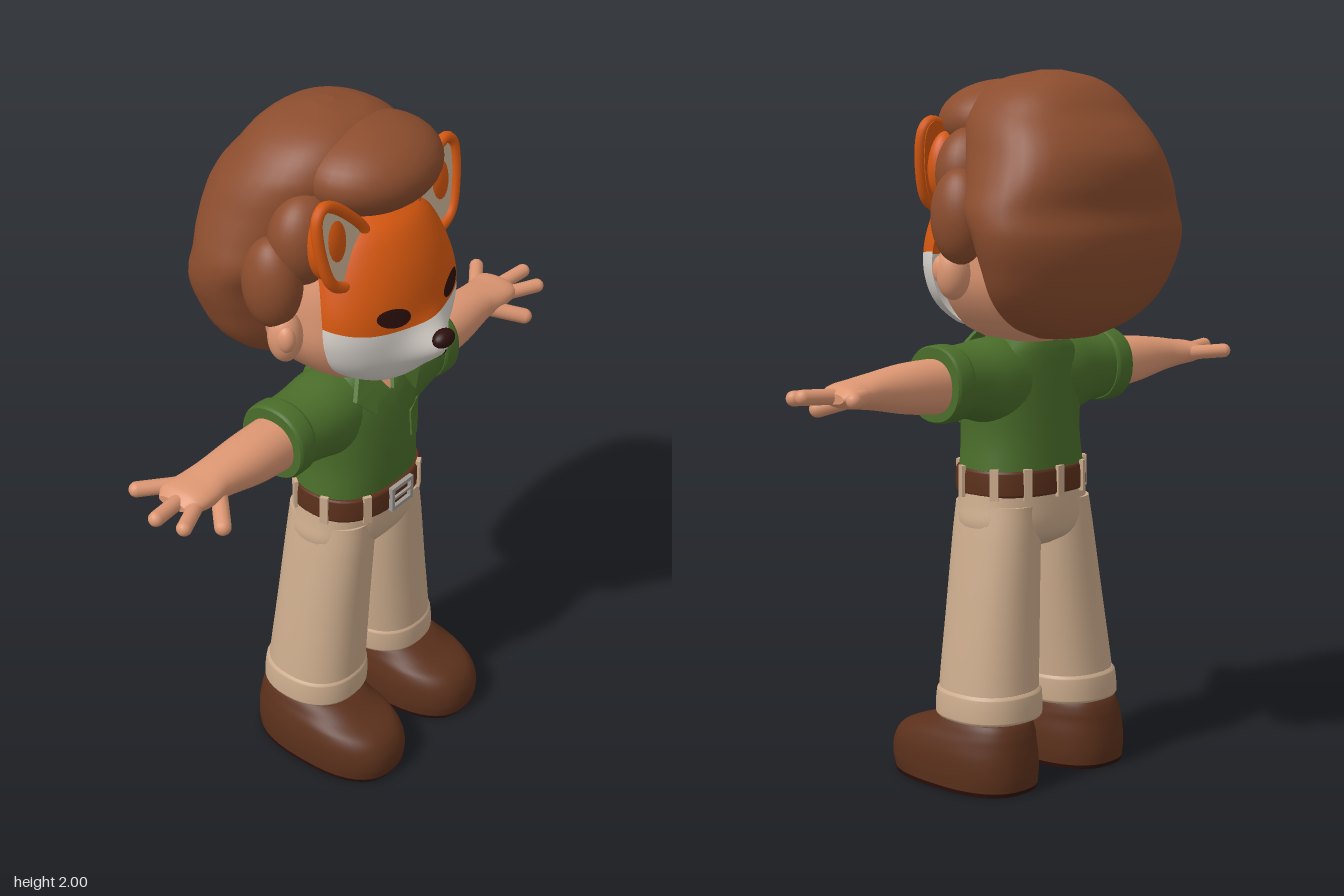
import * as THREE from 'three';

const mat = (name, color) => { const m = new THREE.MeshStandardMaterial({ color, side: THREE.DoubleSide }); m.name = name; return m; };
const M = {
  hair: mat('hair brown', 0x8c4d2e), skin: mat('skin', 0xdc9672), shirt: mat('shirt green', 0x4a6d2a),
  pants: mat('trouser beige', 0xcbab8c), leather: mat('leather brown', 0x5b301b), orange: mat('mask orange', 0xd5570f),
  white: mat('mask white', 0xd8d2cb), dark: mat('dark brown', 0x2c100c), metal: mat('buckle grey', 0xa09a94), cream: mat('ear cream', 0xccb799),
};

// smooth interpolation of rows [t, a, b, ...] at a given t
function profile(rows, t) {
  let i = 0;
  while (i < rows.length - 2 && t > rows[i + 1][0]) i++;
  const A = rows[i], B = rows[i + 1], h = B[0] - A[0], u = THREE.MathUtils.clamp((t - A[0]) / h, 0, 1);
  const P = rows[Math.max(i - 1, 0)], N = rows[Math.min(i + 2, rows.length - 1)];
  return A.map((a, k) => {
    const b = B[k], m0 = (b - P[k]) / (B[0] - P[0]) * h, m1 = (N[k] - a) / (N[0] - A[0]) * h;
    return (2 * u ** 3 - 3 * u * u + 1) * a + (u ** 3 - 2 * u * u + u) * m0 + (3 * u * u - 2 * u ** 3) * b + (u ** 3 - u * u) * m1;
  });
}
const sp = (v, p) => Math.sign(v) * Math.abs(v) ** (2 / p);
// point of a superellipse section [y, halfWidth, zFront, zBack, centreX]
const ringPoint = ([y, rx, zf, zb, cx = 0], a, p) =>
  [cx + rx * sp(Math.cos(a), p), y, (zf + zb) / 2 + (zf - zb) / 2 * sp(Math.sin(a), p)];

function gridGeometry(pos, idx) {
  const g = new THREE.BufferGeometry();
  g.setAttribute('position', new THREE.Float32BufferAttribute(pos, 3));
  g.setIndex(idx);
  g.computeVertexNormals();
  return g;
}
// closed body through stacked sections, with flat caps
function loft(rows, p = 2.2, wave = null, n = 40, sub = 5) {
  const pos = [], idx = [], rings = [];
  for (let i = 0; i < rows.length - 1; i++)
    for (let k = 0; k < sub; k++) rings.push(profile(rows, THREE.MathUtils.lerp(rows[i][0], rows[i + 1][0], k / sub)));
  rings.push(rows[rows.length - 1]);
  const addRing = (r) => {
    for (let j = 0; j < n; j++) {
      const a = j / n * Math.PI * 2, q = ringPoint(r, a, p), f = wave ? wave(a, r[0]) : 1;
      pos.push(q[0] * f, q[1], q[2] * f);
    }
  };
  rings.forEach(addRing);
  for (let i = 0; i < rings.length - 1; i++)
    for (let j = 0; j < n; j++) {
      const a = i * n + j, b = i * n + (j + 1) % n;
      idx.push(a, a + n, b + n, a, b + n, b);
    }
  [rings[0], rings[rings.length - 1]].forEach((r, top) => {
    const base = pos.length / 3;
    addRing(r);
    pos.push(r[4] || 0, r[0], (r[2] + r[3]) / 2);
    for (let j = 0; j < n; j++) {
      const a = base + j, b = base + (j + 1) % n;
      idx.push(base + n, top ? b : a, top ? a : b);
    }
  });
  return gridGeometry(pos, idx);
}
// loft running out along x; rows are [x, halfHeight, zFront, zBack, centreY]
const sideLoft = (rows, s, p) =>
  loft(rows.map(([t, r, f, b, c]) => [t, r, f, b, -s * c]), p).rotateZ(-s * Math.PI / 2);
// press a flat geometry against a surface z(x, y)
function drape(g, zAt, lift) {
  const q = g.attributes.position;
  for (let i = 0; i < q.count; i++) q.setZ(i, q.getZ(i) + zAt(q.getX(i), q.getY(i)) + lift);
  g.computeVertexNormals();
  return g;
}
const polygon = (pts, s = 1) => new THREE.Shape(pts.map(([x, y]) => new THREE.Vector2(x * s, y)));
const slab = (shape, depth) => new THREE.ExtrudeGeometry(shape, { depth, bevelEnabled: false });

const TORSO = [[.89, .19, .18, -.1], [.98, .18, .183, -.095], [1.08, .185, .178, -.09], [1.17, .19, .163, -.085], [1.23, .16, .14, -.08], [1.27, .1, .12, -.07], [1.285, .085, .11, -.065]];
const torsoZ = (x, y) => {
  const [, w, f, b] = profile(TORSO, y);
  return (f + b) / 2 + (f - b) / 2 * Math.max(0, 1 - Math.abs(x / w) ** 2.4) ** (1 / 2.4);
};
// mask rows: [y, halfWidth, zRim, zFront]
const MASK = [[1.28, .07, .15, .19], [1.3, .13, .14, .235], [1.36, .212, .135, .265], [1.44, .25, .135, .28], [1.52, .253, .13, .28], [1.6, .237, .11, .268], [1.68, .21, .08, .24], [1.74, .165, .07, .2], [1.77, .1, .07, .15]];
const maskZ = (x, y) => {
  const [, w, b, f] = profile(MASK, y);
  return b + (f - b) * Math.sqrt(Math.max(0, 1 - (x / w) ** 2)) + .065 * Math.exp(-((x / .075) ** 2) - ((y - 1.405) / .062) ** 2);
};
const seamY = (a) => 1.484 + .022 * Math.sin(a) ** 4;
function maskPatch(low, high, rows = 24, cols = 48) {
  const pos = [], idx = [];
  for (let i = 0; i <= rows; i++)
    for (let j = 0; j <= cols; j++) {
      const a = (j / cols - .5) * Math.PI, y = THREE.MathUtils.lerp(low(a), high(a), i / rows);
      const x = profile(MASK, y)[1] * Math.sin(a);
      pos.push(x, y, maskZ(x, y));
      if (i < rows && j < cols) {
        const k = i * (cols + 1) + j, u = k + cols + 1;
        idx.push(k, k + 1, u + 1, k, u + 1, u);
      }
    }
  return gridGeometry(pos, idx);
}

export function createModel() {
  const root = new THREE.Group();
  root.name = 'maskedFigure';
  const add = (name, geo, material) => {
    const m = new THREE.Mesh(geo, material);
    m.name = name;
    root.add(m);
    return m;
  };
  const ball = (name, material, c, r) =>
    add(name, new THREE.SphereGeometry(1, 32, 20).scale(...r).translate(...c), material);
  const limb = (name, material, a, b, r) => {
    const A = new THREE.Vector3(...a), B = new THREE.Vector3(...b), d = B.clone().sub(A);
    const m = add(name, new THREE.CapsuleGeometry(r, d.length(), 6, 14), material);
    m.position.copy(A).add(B).multiplyScalar(.5);
    m.quaternion.setFromUnitVectors(new THREE.Vector3(0, 1, 0), d.normalize());
  };

  // head and hair
  add('head', loft([[1.26, .1, .12, -.1], [1.3, .17, .17, -.15], [1.4, .24, .2, -.2], [1.5, .25, .2, -.22], [1.6, .235, .18, -.2], [1.7, .19, .12, -.18], [1.75, .1, .08, -.1]], 2.9), M.skin);
  add('neck', new THREE.CylinderGeometry(.072, .076, .16, 28).translate(0, 1.25, .02), M.skin);
  add('hair', loft([[1.275, .1, -.08, -.2], [1.31, .2, -.06, -.25], [1.38, .285, -.04, -.305], [1.48, .335, -.025, -.345], [1.56, .36, -.01, -.355], [1.63, .36, .03, -.345], [1.7, .335, .05, -.355], [1.77, .305, .08, -.35], [1.83, .28, .1, -.32], [1.88, .25, .11, -.28], [1.94, .195, .09, -.235], [1.98, .12, .04, -.18], [2, .03, -.05, -.1]], 2.3,
    (a, y) => 1 + .012 * Math.sin(5 * a + 1.2) * Math.sin((y - 1.27) * 9)), M.hair);
  ball('quiff', M.hair, [.02, 1.86, .065], [.215, .118, .18]).rotation.z = 0;
  for (const s of [1, -1]) {
    ball('sideHair', M.hair, [s * .285, 1.61, -.01], [.075, .13, .085]);
    ball('templeHair', M.hair, [s * .2, 1.72, .03], [.11, .13, .09]);
    ball('ear', M.skin, [s * .278, 1.457, .025], [.048, .075, .047]);
    ball('earFold', M.skin, [s * .3, 1.465, .045], [.025, .04, .03]);
  }

  // fox mask
  add('maskLower', maskPatch(() => 1.28, seamY), M.white);
  add('maskUpper', maskPatch(seamY, () => 1.77), M.orange);
  ball('maskNose', M.dark, [0, 1.437, .334], [.037, .025, .026]);
  add('maskMouth', drape(new THREE.PlaneGeometry(.008, .035, 1, 4).translate(0, 1.388, 0), maskZ, .003), M.dark);
  const earOutline = [[.1, 1.72], [.165, 1.81], [.25, 1.862], [.279, 1.84], [.28, 1.74], [.245, 1.645], [.18, 1.625]];
  for (const s of [1, -1]) {
    const eye = new THREE.RingGeometry(0, 1, 24, 4).scale(.05, .027, 1).rotateZ(s * .22).translate(s * .12, 1.527, 0);
    add('maskEye', drape(eye, maskZ, .004), M.dark);
    const earZ = (x, y) => .155 - (y - 1.7) * .12;
    const curve = new THREE.CatmullRomCurve3(earOutline.map(([x, y]) => new THREE.Vector3(x * s, y, earZ(x, y))), true);
    const shape = polygon(curve.getPoints(40).slice(0, -1).map((v) => [v.x, v.y]));
    add('maskEarRim', new THREE.TubeGeometry(curve, 60, .016, 10, true), M.orange);
    add('maskEarShell', drape(slab(shape, .014), earZ, -.018), M.orange);
    add('maskEarInner', drape(new THREE.ShapeGeometry(shape), earZ, .002), M.cream);
    ball('maskEarBack', M.orange, [s * .215, 1.735, .115], [.06, .1, .045]);
  }

  // shirt
  add('shirt', loft(TORSO, 2.4), M.shirt);
  add('neckOpening', drape(slab(polygon([[-.055, 1.28], [0, 1.2], [.055, 1.28]]), .004), torsoZ, .004), M.skin);
  add('pocket', drape(slab(polygon([[.07, 1.1], [.07, 1.02], [.11, 1.005], [.15, 1.02], [.15, 1.1]]), .006), torsoZ, .002), M.shirt);
  add('placket', drape(new THREE.PlaneGeometry(.035, .27, 2, 12).translate(0, 1.06, 0), torsoZ, .004), M.shirt);
  for (const s of [1, -1]) {
    const flap = polygon([[.005, 1.205], [.055, 1.285], [.1, 1.275], [.14, 1.225], [.085, 1.17], [.05, 1.235]], s);
    add('collarFlap', drape(slab(flap, .014), (x, y) => Math.max(torsoZ(x, y), .165 - (y - 1.17) * .5), .004), M.shirt);
    add('sleeve', sideLoft([[.06, .125, .15, -.08, 1.14], [.14, .122, .15, -.08, 1.145], [.22, .105, .142, -.07, 1.152], [.3, .098, .13, -.066, 1.155], [.34, .098, .13, -.066, 1.155]], s), M.shirt);
    add('sleeveCuff', sideLoft([[.285, .102, .134, -.07, 1.155], [.295, .107, .139, -.075, 1.155], [.34, .107, .139, -.075, 1.155], [.35, .102, .134, -.07, 1.155]], s), M.shirt);

    // arm and hand
    add('arm', sideLoft([[.32, .077, .11, -.045, 1.15], [.45, .069, .105, -.043, 1.155], [.57, .05, .09, -.038, 1.16], [.63, .04, .095, -.045, 1.16], [.69, .031, .088, -.052, 1.16], [.72, .014, .06, -.03, 1.158]], s), M.skin);
    limb('finger', M.skin, [s * .65, 1.16, -.03], [s * .738, 1.165, -.092], .021);
    limb('finger', M.skin, [s * .68, 1.16, .02], [s * .799, 1.167, .036], .021);
    limb('finger', M.skin, [s * .67, 1.155, .06], [s * .772, 1.155, .107], .021);
    limb('thumb', M.skin, [s * .6, 1.14, .07], [s * .665, 1.112, .14], .023);

    // leg and shoe
    add('trouserLeg', loft([[.2, .132, .158, -.128, s * .157], [.28, .13, .16, -.122, s * .153], [.5, .12, .16, -.108, s * .13], [.7, .106, .165, -.1, s * .109], [.8, .095, .165, -.095, s * .1]], 2.3), M.pants);
    add('trouserCuff', loft([[.2, .135, .162, -.132, s * .157], [.208, .139, .166, -.135, s * .157], [.27, .136, .165, -.131, s * .154], [.28, .13, .16, -.124, s * .153]], 2.3), M.pants);
    add('ankle', new THREE.CylinderGeometry(.095, .095, .12, 24).translate(s * .17, .17, .02), M.skin);
    add('shoe', loft([[.008, .138, .325, -.145, s * .178], [.05, .142, .335, -.15, s * .178], [.1, .14, .328, -.148, s * .178], [.14, .13, .295, -.143, s * .177], [.165, .12, .225, -.138, s * .175], [.195, .105, .165, -.125, s * .173], [.202, .09, .14, -.11, s * .172]], 2.5), M.leather);
    add('shoeSole', loft([[0, .137, .322, -.143, s * .178], [.012, .14, .33, -.147, s * .178]], 2.5), M.dark);
  }

  // trouser seat, belt, loops and buckle
  add('trouserSeat', loft([[.675, .1, .1, -.05], [.7, .18, .145, -.09], [.74, .208, .17, -.105], [.8, .2, .178, -.105], [.89, .186, .176, -.098]], 2.4), M.pants);
  add('belt', loft([[.828, .194, .19, -.108], [.835, .197, .193, -.111], [.893, .195, .193, -.109], [.9, .191, .189, -.106]], 2.4), M.leather);
  for (const deg of [12, 58, 122, 168, 205, 240, 270, 300, 335]) {
    const [x, y, z] = ringPoint([.864, .197, .194, -.111], deg * Math.PI / 180, 2.4);
    const loop = add('beltLoop', new THREE.BoxGeometry(.024, .088, .012), M.pants);
    loop.position.set(x, y, z);
    loop.rotation.y = Math.atan2(x / .197 ** 2, (z - .041) / .152 ** 2);
  }
  const frame = polygon([[-.04, .826], [.055, .826], [.055, .902], [-.04, .902]]);
  frame.holes.push(new THREE.Path([[-.028, .838], [-.028, .89], [.043, .89], [.043, .838]].map(([x, y]) => new THREE.Vector2(x, y))));
  add('buckle', slab(frame, .014).translate(0, 0, .19), M.metal);
  add('bucklePin', new THREE.BoxGeometry(.08, .008, .008).translate(.01, .864, .2), M.metal);
  return root;
}
